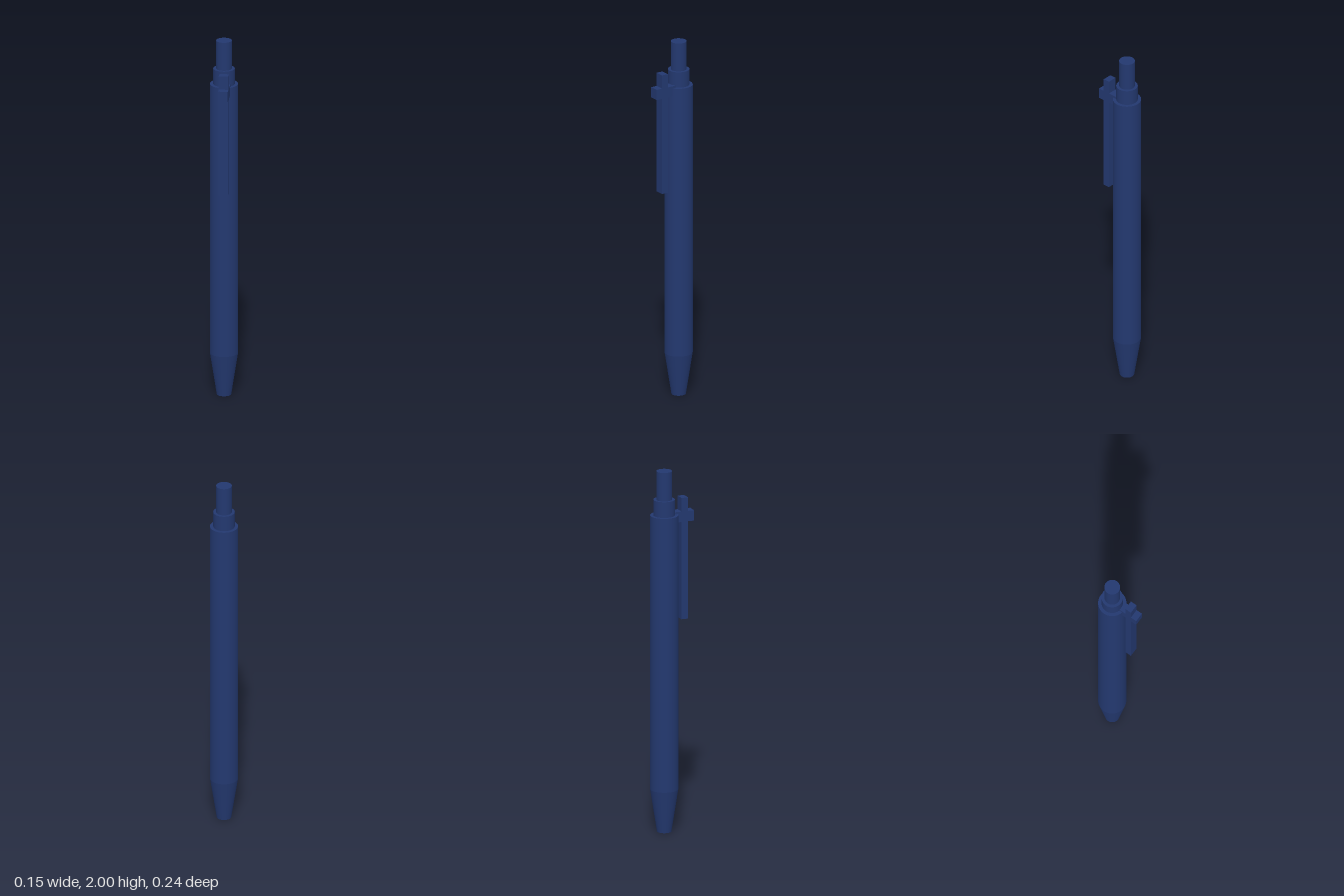
import * as THREE from 'three';

export function createModel() {
  const pen = new THREE.Group();
  pen.name = 'pen';
  const navy = new THREE.MeshStandardMaterial({ color: 0x23386f });
  navy.name = 'navy';
  const axisZ = -0.047;

  // Round sections stacked along the barrel axis
  const round = (name, rTop, rBottom, y0, y1) => {
    const mesh = new THREE.Mesh(new THREE.CylinderGeometry(rTop, rBottom, y1 - y0, 64), navy);
    mesh.name = name;
    mesh.position.set(0, (y0 + y1) / 2, axisZ);
    pen.add(mesh);
  };
  round('tip', 0.0755, 0.039, 0, 0.235);
  round('barrel', 0.0755, 0.0755, 0.235, 1.755);
  round('collar', 0.0575, 0.0575, 1.755, 1.842);
  round('pushButton', 0.042, 0.042, 1.842, 2);

  // Clip parts sit slightly off-centre towards +x
  const block = (name, y0, y1, z0, z1) => {
    const mesh = new THREE.Mesh(new THREE.BoxGeometry(0.052, y1 - y0, z1 - z0), navy);
    mesh.name = name;
    mesh.position.set(0.013, (y0 + y1) / 2, (z0 + z1) / 2);
    pen.add(mesh);
  };
  block('clipBracket', 1.709, 1.767, -0.01, 0.12);
  block('clip', 1.169, 1.842, 0.048, 0.085);

  return pen;
}
